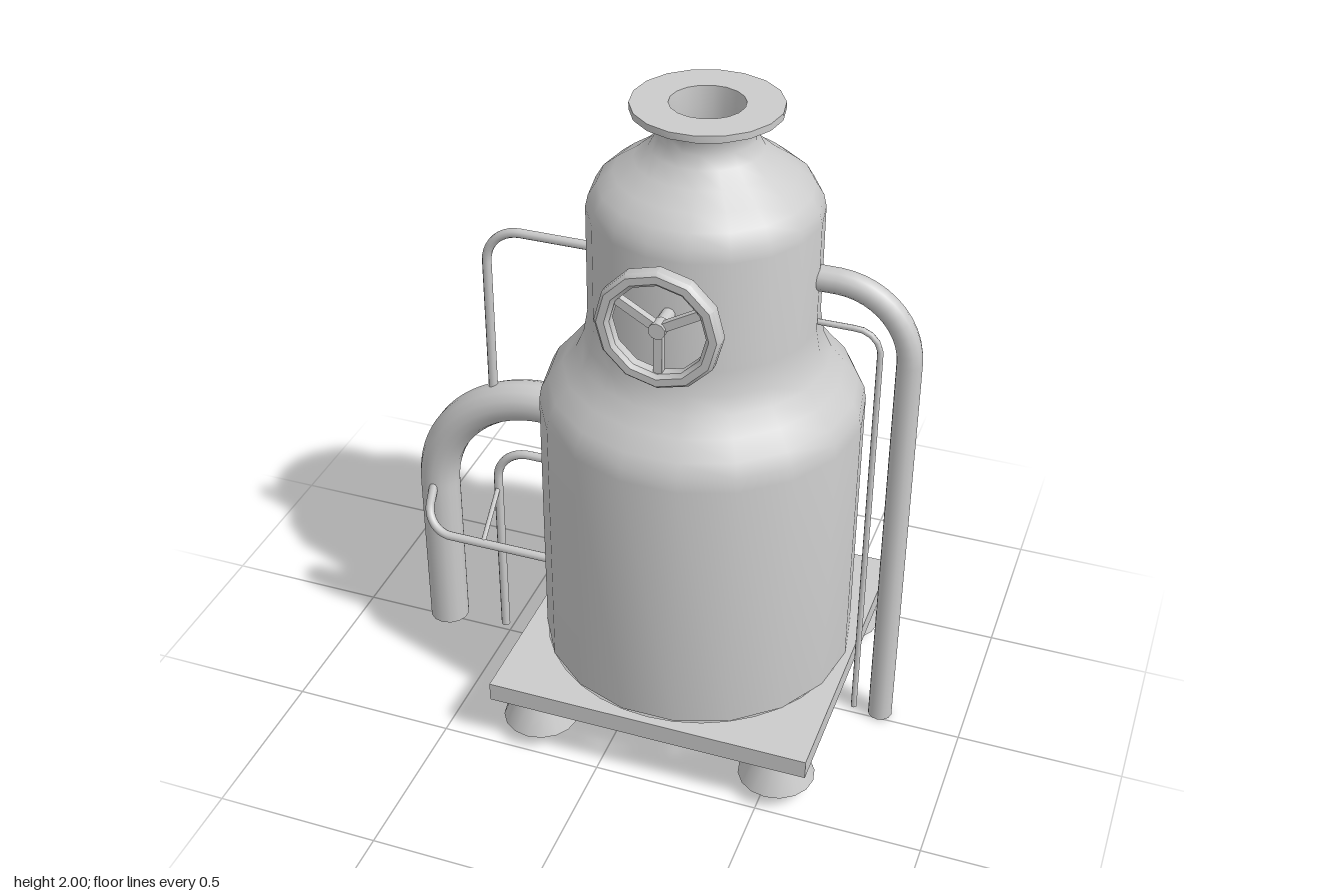
import * as THREE from 'three';
import { toCreasedNormals } from 'three/addons/utils/BufferGeometryUtils.js';

const grey = new THREE.MeshStandardMaterial({ color: 0xcccccc });
const greyOpen = new THREE.MeshStandardMaterial({ color: 0xcccccc, side: THREE.DoubleSide });
const CX = 0.15, CZ = -0.01, PIPE_Z = -0.025;

const V = (x, y, z = PIPE_Z) => new THREE.Vector3(x, y, z);

function add(parent, name, geometry, material = grey) {
  const mesh = new THREE.Mesh(geometry, material);
  mesh.name = name;
  parent.add(mesh);
  return mesh;
}

function lathe(profile, sides, phi = Math.PI / 2) {
  const pts = profile.map(([r, y]) => new THREE.Vector2(r, y));
  return toCreasedNormals(new THREE.LatheGeometry(pts, sides, phi), 0.75);
}

// Open-ended pipe through corner points, each corner rounded by its bend radius
function pipe(parent, name, points, radius, bend, sides = 12) {
  const path = new THREE.CurvePath();
  let from = points[0];
  for (let i = 1; i < points.length - 1; i++) {
    const corner = points[i];
    const a = corner.clone().addScaledVector(points[i - 1].clone().sub(corner).normalize(), bend);
    const b = corner.clone().addScaledVector(points[i + 1].clone().sub(corner).normalize(), bend);
    path.add(new THREE.LineCurve3(from, a));
    path.add(new THREE.CubicBezierCurve3(a, a.clone().lerp(corner, 0.552), b.clone().lerp(corner, 0.552), b));
    from = b;
  }
  path.add(new THREE.LineCurve3(from, points[points.length - 1]));
  const segments = points.length > 2 ? 56 : 1;
  add(parent, name, new THREE.TubeGeometry(path, segments, radius, sides), greyOpen);
}

export function createModel() {
  const model = new THREE.Group();
  model.name = 'boiler';

  // Stepped vessel with flanged neck and recessed mouth
  const vessel = add(model, 'vessel', lathe([
    [0, 0.23], [0.475, 0.23], [0.475, 1.06], [0.468, 1.1], [0.448, 1.14], [0.405, 1.19],
    [0.365, 1.24], [0.342, 1.29], [0.33, 1.36], [0.33, 1.69], [0.322, 1.725], [0.298, 1.765],
    [0.255, 1.8], [0.2, 1.838], [0.158, 1.875], [0.139, 1.91], [0.138, 1.94], [0.147, 1.965],
    [0.162, 1.98], [0.21, 1.98], [0.21, 2], [0.105, 2], [0.1, 1.94], [0.105, 1.89], [0, 1.87],
  ], 18));
  vessel.position.set(CX, 0, CZ);

  // Square plate with a round opening under the vessel
  const square = new THREE.Shape();
  const h = 0.495;
  square.moveTo(-h, -h).lineTo(h, -h).lineTo(h, h).lineTo(-h, h).closePath();
  square.holes.push(new THREE.Path().absarc(0, 0, 0.467, 0, Math.PI * 2, true));
  const plate = add(model, 'basePlate',
    new THREE.ExtrudeGeometry(square, { depth: 0.06, bevelEnabled: false, curveSegments: 18 }));
  plate.rotation.x = -Math.PI / 2;
  plate.position.set(CX, 0.17, 0);

  // Four flared feet
  const footGeometry = new THREE.CylinderGeometry(0.072, 0.115, 0.115, 16, 1, true);
  for (const sx of [-1, 1]) for (const sz of [-1, 1]) {
    add(model, 'foot', footGeometry, greyOpen).position.set(CX + sx * 0.378, 0.1125, sz * 0.38);
  }

  // Handwheel on the front
  const wheel = new THREE.Group();
  wheel.name = 'handwheel';
  wheel.position.set(0.157, 1.53, 0.39);
  model.add(wheel);
  const rim = add(wheel, 'wheelRim', lathe([
    [0.135, -0.014], [0.146, -0.025], [0.168, -0.025], [0.178, -0.014],
    [0.178, 0.014], [0.168, 0.025], [0.146, 0.025], [0.135, 0.014], [0.135, -0.014],
  ], 12, 0));
  rim.rotation.x = Math.PI / 2;
  const hub = add(wheel, 'wheelHub', new THREE.CylinderGeometry(0.024, 0.024, 0.04, 10));
  hub.rotation.x = Math.PI / 2;
  const stem = add(wheel, 'wheelStem', new THREE.CylinderGeometry(0.02, 0.02, 0.11, 10));
  stem.rotation.x = Math.PI / 2;
  stem.position.z = -0.06;
  for (let i = 0; i < 3; i++) {
    const angle = i * Math.PI * 2 / 3;
    const spoke = add(wheel, 'wheelSpoke', new THREE.BoxGeometry(0.025, 0.13, 0.022));
    spoke.position.set(Math.sin(angle) * 0.078, -Math.cos(angle) * 0.078, 0);
    spoke.rotation.z = angle;
  }

  // Pipes on the left side
  pipe(model, 'leftMainPipe', [V(0.44, 1.52), V(0.745, 1.52), V(0.745, 0.01)], 0.037, 0.22);
  pipe(model, 'leftThinPipe', [V(0.44, 1.38), V(0.661, 1.38), V(0.661, 0.01)], 0.009, 0.07, 8);

  // Pipes on the right side
  pipe(model, 'rightMainPipe', [V(-0.28, 0.922), V(-0.727, 0.922), V(-0.727, 0.005)], 0.063, 0.37, 14);
  pipe(model, 'rightUpperPipe', [V(-0.14, 1.492), V(-0.525, 1.492), V(-0.525, 0.87)], 0.014, 0.11, 10);
  pipe(model, 'rightLowerPipe', [V(-0.28, 0.712), V(-0.525, 0.712), V(-0.525, 0.01)], 0.014, 0.11, 10);
  pipe(model, 'rightDrainPipe', [V(-0.28, 0.44, 0.112), V(-0.725, 0.44, 0.112), V(-0.725, 0.57, 0.02)],
    0.014, 0.09, 10);
  pipe(model, 'rightBrace', [V(-0.525, 0.445, 0.11), V(-0.525, 0.57, -0.025)], 0.008, 0, 8);

  return model;
}
